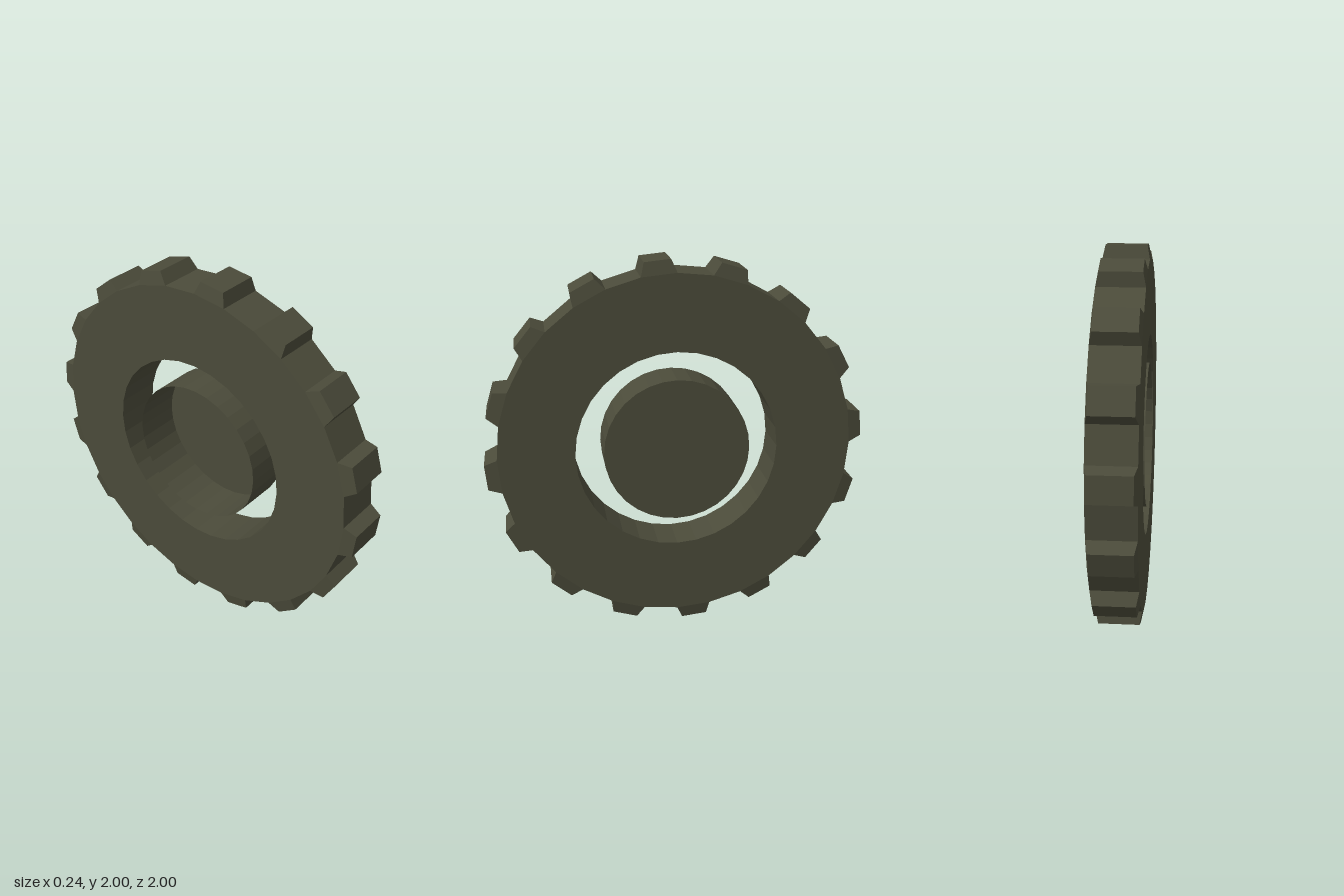
import * as THREE from 'three';

const SIDES = 32;
const STEP = (Math.PI * 2) / SIDES;
const WIDTH = 0.24;
const BODY_R = 0.933;
const HOLE_R = 0.533;
const HUB_R = 0.385;

// Regular polygon outline, starting at the top and going clockwise
function polygon(radius) {
  const points = [];
  for (let i = 0; i < SIDES; i++) {
    points.push(new THREE.Vector2(Math.sin(i * STEP) * radius, Math.cos(i * STEP) * radius));
  }
  return points;
}

// Tread block: a box whose outer end is narrowed on all four sides
function lugGeometry() {
  const bottom = BODY_R * Math.cos(STEP / 2);
  const top = 0.998;
  const baseWidth = 2 * BODY_R * Math.sin(STEP / 2);
  const geometry = new THREE.BoxGeometry(baseWidth, top - bottom, WIDTH);
  geometry.translate(0, (top + bottom) / 2, 0);
  const p = geometry.attributes.position;
  for (let i = 0; i < p.count; i++) {
    if (p.getY(i) > (top + bottom) / 2) {
      p.setX(i, Math.sign(p.getX(i)) * 0.068);
      p.setZ(i, Math.sign(p.getZ(i)) * 0.106);
    }
  }
  geometry.computeVertexNormals();
  return geometry;
}

export function createModel() {
  const olive = new THREE.MeshStandardMaterial({
    color: 0x4b4b3a, flatShading: true, side: THREE.DoubleSide,
  });
  olive.name = 'dark olive';

  const model = new THREE.Group();
  model.name = 'wheel';
  // The wheel is drawn in the XY plane, then turned to face sideways
  const wheel = new THREE.Group();
  wheel.name = 'wheelAssembly';
  wheel.rotation.y = Math.PI / 2;
  wheel.position.y = 1;
  model.add(wheel);

  function add(geometry, name, parent = wheel) {
    const mesh = new THREE.Mesh(geometry, olive);
    mesh.name = name;
    parent.add(mesh);
    return mesh;
  }

  // Flat-sided ring with a round opening
  const outline = new THREE.Shape(polygon(BODY_R));
  outline.holes.push(new THREE.Path(polygon(HOLE_R)));
  const ring = new THREE.ExtrudeGeometry(outline, { depth: WIDTH, bevelEnabled: false });
  ring.translate(0, 0, -WIDTH / 2);
  add(ring, 'tyreRing');

  // A tread block on every other facet of the rim
  const lugs = new THREE.Group();
  lugs.name = 'treadBlocks';
  wheel.add(lugs);
  const lug = lugGeometry();
  for (let i = 0; i < SIDES; i += 2) {
    add(lug, 'treadBlock', lugs).rotation.z = -(i - 0.5) * STEP;
  }

  // Thin hub cup, closed on the +x side and open on the other
  const wall = new THREE.CylinderGeometry(HUB_R, HUB_R, WIDTH, SIDES, 1, true);
  wall.rotateX(Math.PI / 2);
  add(wall, 'hubWall');
  const cap = new THREE.CircleGeometry(HUB_R, SIDES);
  cap.translate(0, 0, WIDTH / 2);
  add(cap, 'hubCap');

  return model;
}
